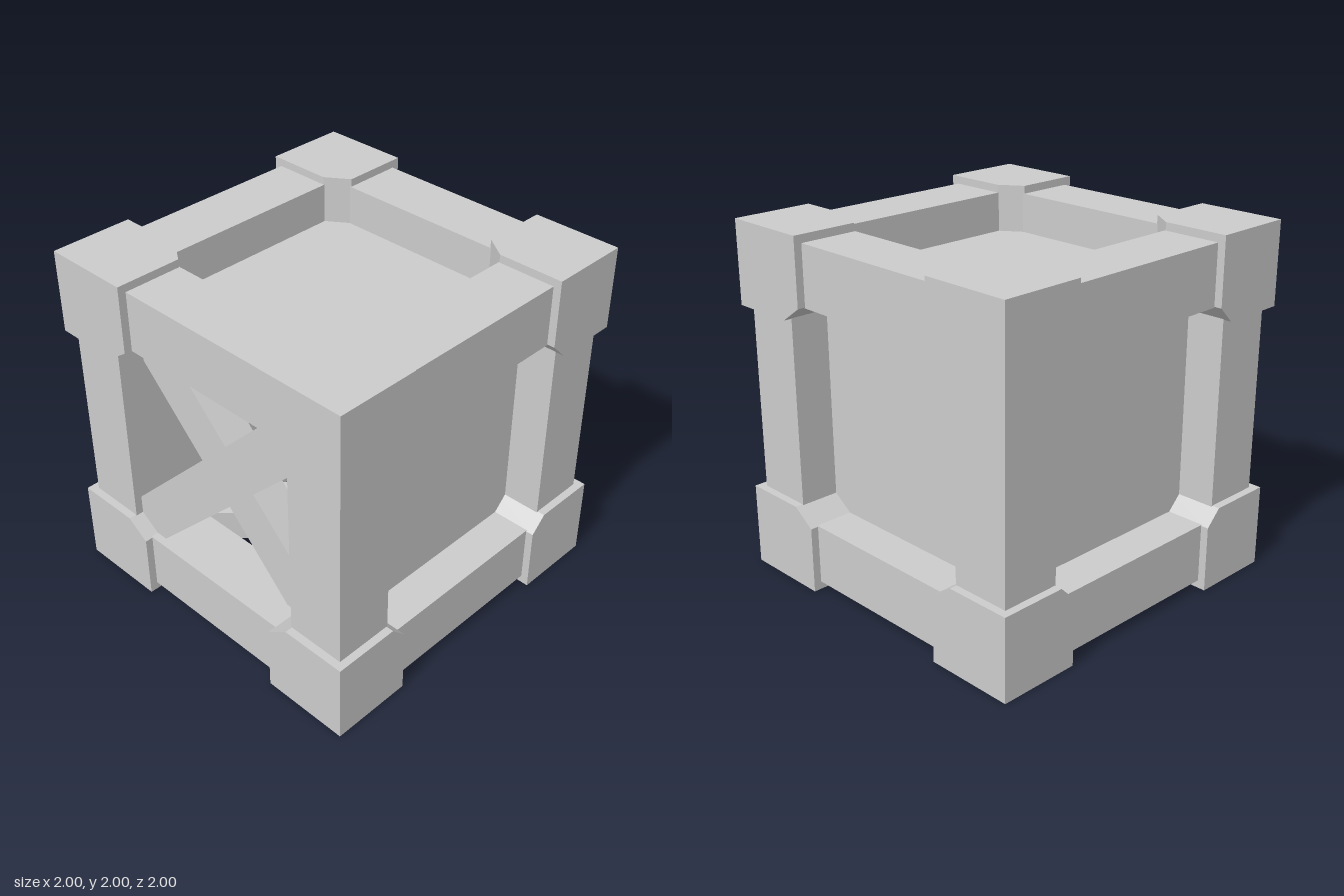
import * as THREE from 'three';
import { ConvexGeometry } from 'three/addons/geometries/ConvexGeometry.js';

export function createModel() {
  const crate = new THREE.Group();
  crate.name = 'crate';
  const grey = new THREE.MeshStandardMaterial({ color: 0xcccccc });
  grey.name = 'light grey';

  const add = (name, geometry, x, y, z) => {
    const mesh = new THREE.Mesh(geometry, grey);
    mesh.name = name;
    mesh.position.set(x, y + 1, z); // parts are laid out around the crate's centre
    crate.add(mesh);
    return mesh;
  };
  const box = (name, w, h, d, x, y, z) => add(name, new THREE.BoxGeometry(w, h, d), x, y, z);

  const signs = [-1, 1];
  const inner = 0.615, outer = 0.955;      // beam cross-section range
  const mid = (inner + outer) / 2, thick = outer - inner;

  // Corner blocks with the three inward edges chamfered
  const a = 0.53, c = 0.49, k = 0.62;
  const corner = [
    [k, a, 1], [1, a, 1], [1, 1, 1], [a, 1, 1], [a, k, 1],
    [1, k, c], [1, 1, c], [1, a, k],
    [k, 1, c], [a, 1, k],
    [a, k, k], [k, a, k], [k, k, c],
  ];
  for (const sx of signs) for (const sy of signs) for (const sz of signs) {
    const points = corner.map(([x, y, z]) => new THREE.Vector3(x * sx, y * sy, z * sz));
    add('cornerBlock', new ConvexGeometry(points), 0, 0, 0);
  }

  // Twelve edge beams
  for (const s of signs) for (const t of signs) {
    box('beamAcross', 1.24, thick, thick, 0, s * mid, t * mid);
    box('beamUpright', thick, 1.24, thick, s * mid, 0, t * mid);
    box('beamDeep', thick, thick, 1.24, s * mid, t * mid, 0);
  }

  // Recessed panels on four sides
  const p = 0.71, size = 1.34, pt = 0.04;
  box('frontPanel', size, size, pt, 0, 0, p);
  box('backPanel', size, size, pt, 0, 0, -p);
  box('leftPanel', pt, size, size, p, 0, 0);
  box('topPanel', size, pt, size, 0, p, 0);

  // Crossed braces in the open side and the open bottom
  const length = 1.7, width = 0.27, depth = 0.19;
  for (const [offset, turn] of [[0.815, 1], [0.705, -1]]) {
    box('sideBrace', depth, length, width, -offset, 0, 0).rotation.x = turn * Math.PI / 4;
    box('bottomBrace', width, depth, length, 0, -offset, 0).rotation.y = -turn * Math.PI / 4;
  }
  return crate;
}
